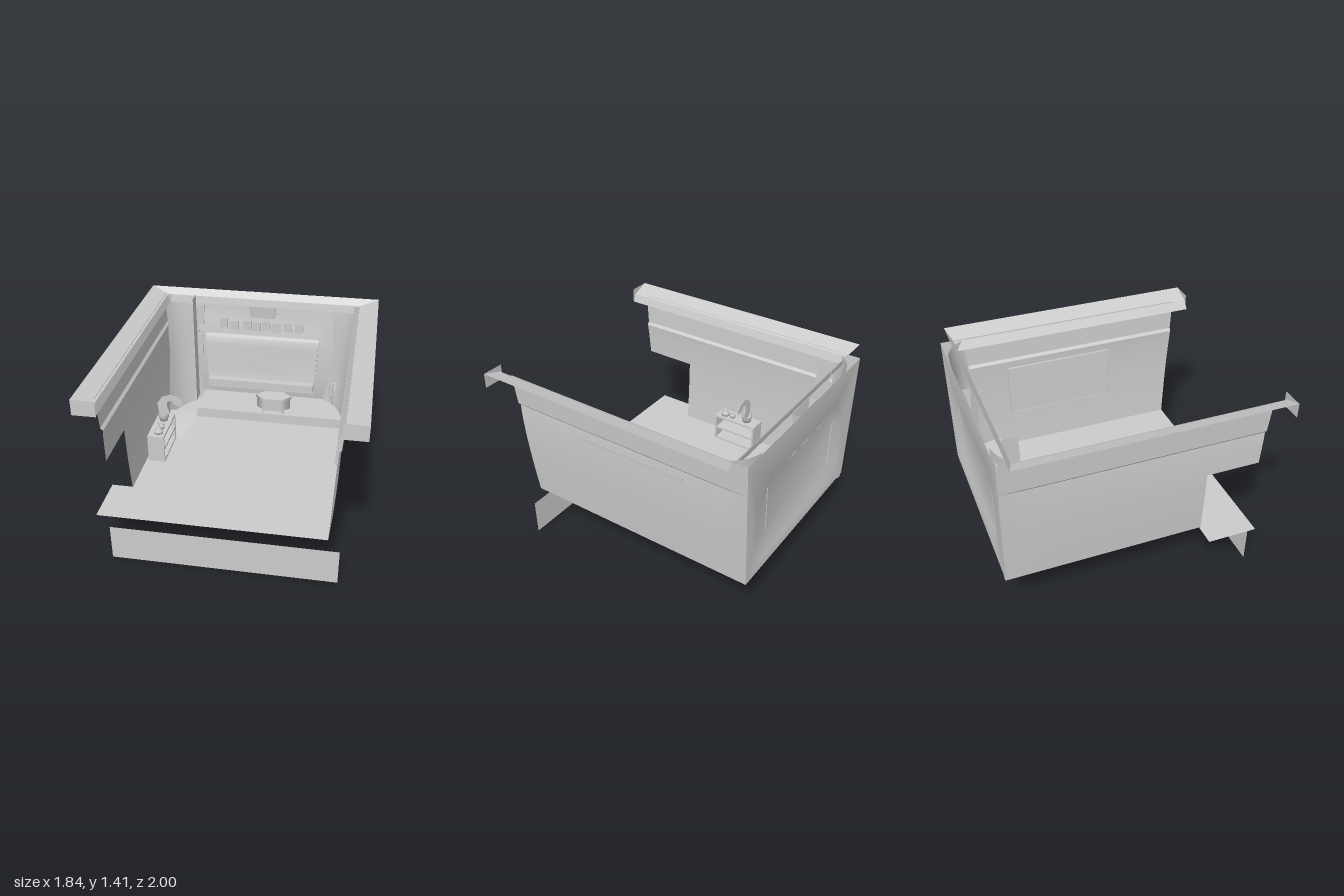
import * as THREE from 'three';
import { toCreasedNormals } from 'three/addons/utils/BufferGeometryUtils.js';

const mat = new THREE.MeshStandardMaterial({ color: 0xcccccc, side: THREE.DoubleSide });
const lerp = THREE.MathUtils.lerp;

// Piecewise-linear lookup in [key, value] pairs sorted by key
function sample(pairs, k) {
  for (let i = 1; i < pairs.length; i++) {
    const [a, va] = pairs[i - 1], [b, vb] = pairs[i];
    if (k <= b) return lerp(va, vb, Math.max(0, (k - a) / (b - a)));
  }
  return pairs[pairs.length - 1][1];
}

// Surface through rows of points; skip(i, j) leaves a cell open
function sheet(rows, crease = 0.5, skip = () => false) {
  const p = [];
  for (let i = 0; i < rows.length - 1; i++) {
    for (let j = 0; j < rows[i].length - 1; j++) {
      if (skip(i, j)) continue;
      const a = rows[i][j], b = rows[i][j + 1], c = rows[i + 1][j + 1], d = rows[i + 1][j];
      p.push(...a, ...b, ...c, ...a, ...c, ...d);
    }
  }
  const g = new THREE.BufferGeometry();
  g.setAttribute('position', new THREE.Float32BufferAttribute(p, 3));
  g.computeVertexNormals();
  return toCreasedNormals(g, crease);
}

export function createModel() {
  const root = new THREE.Group();
  const add = (name, geo, x = 0, y = 0, z = 0, parent = root) => {
    const m = new THREE.Mesh(geo, mat);
    m.name = name;
    m.position.set(x, y, z);
    parent.add(m);
    return m;
  };
  // Box given by its limits
  const box = (name, x0, x1, y0, y1, z0, z1, parent) =>
    add(name, new THREE.BoxGeometry(x1 - x0, y1 - y0, z1 - z0),
      (x0 + x1) / 2, (y0 + y1) / 2, (z0 + z1) / 2, parent);
  const group = (name) => {
    const g = new THREE.Group();
    g.name = name;
    root.add(g);
    return g;
  };

  // Side walls: bowed panel in front, flat strip at the back, doorway on the -x side
  const ys = [0.37, 0.45, 0.55, 0.65, 0.75, 0.87, 0.97, 1.06, 1.12, 1.14, 1.37];
  const bow = [[0.37, 0], [0.6, 0.006], [0.87, 0.004], [1.06, -0.008], [1.12, -0.016], [1.14, 0], [1.37, 0]];
  const creaseZ = [[0.37, -0.64], [0.88, -0.82], [1.14, -0.84], [1.37, -0.86]];
  const wallX = (s, y) => s < 0 ? lerp(-0.76, -0.802, (y - 0.37)) : lerp(0.715, 0.778, (y - 0.37));
  for (const s of [-1, 1]) {
    const rows = ys.map((y) => {
      const front = lerp(0.81, 0.89, y - 0.37);
      const x = wallX(s, y), bx = x + s * sample(bow, y);
      return [[bx, y, front], [bx, y, 0.45], [bx, y, sample(creaseZ, y)], [x, y, -1]];
    });
    add(s < 0 ? 'rightWall' : 'leftWall', sheet(rows, 0.5, (i, j) => s < 0 && j === 0 && ys[i + 1] <= 0.87));
    // Inner corner infill blending side wall into back wall
    const corner = [[0.37, 0.5], [0.6, 0.56], [0.88, 0.6], [1.17, 0.57]].map(([y, bx]) => {
      const a = new THREE.Vector3(wallX(s, y) - s * 0.012, y, [sample(creaseZ, y) + 0.02][0]);
      const c = new THREE.Vector3(s * bx, y, -0.965);
      const mid = new THREE.Vector3(lerp(a.x, c.x, 0.25), y, lerp(a.z, c.z, 0.75));
      return new THREE.QuadraticBezierCurve3(a, mid, c).getPoints(6).map((v) => v.toArray());
    });
    const top = corner[3].map(([x, , z]) => [x + s * 0.02, 1.36, z - 0.02]);
    add('cornerInfill', sheet([...corner, top], 1.2));
  }

  // Back wall with a shallow octagonal panel pressed inward
  const ring = (hx, y0, y1, cut, z) => [
    [-hx, y0 + cut], [-hx, y1 - cut], [-hx + cut, y1], [hx - cut, y1],
    [hx, y1 - cut], [hx, y0 + cut], [hx - cut, y0], [-hx + cut, y0], [-hx, y0 + cut],
  ].map(([x, y]) => [x, y, z]);
  const rim0 = [[-0.76, 0.37], [-0.802, 1.37], [-0.802, 1.37], [0.778, 1.37], [0.778, 1.37],
    [0.715, 0.37], [0.715, 0.37], [-0.76, 0.37], [-0.76, 0.37]].map(([x, y]) => [x, y, -1]);
  const centre = rim0.map(() => [0, 0.78, -0.975]);
  add('backWall', sheet([rim0, ring(0.62, 0.45, 1.13, 0.15, -0.995), ring(0.56, 0.5, 1.08, 0.14, -0.975), centre], 0.8));

  // Floor with the doorstep tab
  const floor = new THREE.Shape([[-0.76, 1], [-0.76, -0.44], [-0.92, -0.44], [-0.92, -0.81], [0.715, -0.81], [0.715, 1]]
    .map(([x, y]) => new THREE.Vector2(x, y)));
  add('floor', new THREE.ShapeGeometry(floor).rotateX(-Math.PI / 2), 0, 0.37, 0);
  add('basePanel', new THREE.PlaneGeometry(1.63, 0.275), -0.015, 0.1375, 0.81);
  box('cornerFoot', -0.74, -0.7, 0.35, 0.37, -1, -0.96);

  // Roof rim: outer edge, sloping shelf, hanging lip, swept round three sides
  const profile = [[0.92, 0.92, -0.94, 1.41], [0.785, 0.775, -0.9, 1.36], [0.765, 0.735, -0.89, 1.3]];
  add('roofRim', sheet(profile.map(([l, r, z, y]) => [[-l, y, 1], [-l, y, z], [r, y, z], [r, y, 1]])));
  for (const s of [-1, 1]) {
    add('rimEnd', new THREE.PlaneGeometry(0.16, 0.11), s * 0.84, 1.355, 1);
  }

  // Raised platform, its small step, and the bench with backrest
  box('platform', -0.51, 0.71, 0.372, 0.455, -0.97, -0.64);
  box('platformStep', -0.555, -0.51, 0.372, 0.415, -0.9, -0.64);
  const ramp = sheet([[[-0.74, 0.375, -0.28], [-0.55, 0.375, -0.28]],
    [[-0.74, 0.41, -0.5], [-0.51, 0.41, -0.51]], [[-0.74, 0.415, -0.64], [-0.51, 0.415, -0.64]]]);
  add('sideRamp', ramp);
  const bench = group('bench');
  box('seat', -0.46, 0.44, 0.55, 0.62, -0.97, -0.87, bench);
  const back = [[0.62, 0.46, -0.93], [0.68, 0.465, -0.94], [0.92, 0.475, -0.94], [0.98, 0.48, -0.948], [1.005, 0.48, -0.96], [1.01, 0.475, -0.975]]
    .map(([y, h, z]) => [[-h - 0.01, y, -0.98], [-h - 0.01, y, z], [h - 0.015, y, z], [h - 0.015, y, -0.98]]);
  add('backrest', sheet(back, 0.9), 0, 0, 0, bench);

  // Six-sided low table on the platform
  const table = group('lowTable');
  for (const [r, h, y] of [[0.14, 0.1, 0.54], [0.15, 0.02, 0.59]]) {
    add('tableTop', new THREE.CylinderGeometry(r, r, h, 6).rotateY(Math.PI / 2).scale(1, 1, 0.55), 0.13, y, -0.7, table);
  }
  for (const x of [0.05, 0.21]) for (const z of [-0.735, -0.665]) {
    box('tableLeg', x - 0.01, x + 0.01, 0.455, 0.5, z - 0.01, z + 0.01, table);
  }

  // Upright strip beside the bench
  add('uprightStrip', sheet([[[-0.555, 1.37, -0.9], [-0.555, 1.37, -0.79]], [[-0.54, 0.46, -0.87], [-0.54, 0.46, -0.76]]]));

  // Small framed pictures in a row, and notice boards
  [-0.34, -0.25, -0.14, -0.06, 0.02, 0.11, 0.2, 0.295].forEach((x, i) => {
    const y = [1.105, 1.09, 1.1, 1.09, 1.105, 1.09, 1.105, 1.1][i];
    box('pictureFrame', x - 0.035, x + 0.035, y - 0.04, y + 0.04, -0.975, -0.965);
  });
  box('noticeBoard', -0.665, -0.5, 1.09, 1.26, -0.965, -0.955);
  box('noticeTab', -0.61, -0.55, 1.005, 1.09, -0.965, -0.955);
  box('lowerBoard', -0.675, -0.515, 0.81, 0.99, -0.965, -0.955);

  // Tapered lamp over the bench
  add('wallLamp', sheet([1.18, 1.36].map((y, i) => {
    const h = 0.1 + i * 0.022, z = -0.95 + i * 0.015;
    return [[-h - 0.01, y, -0.99], [-h - 0.01, y, z], [h - 0.01, y, z], [h - 0.01, y, -0.99], [-h - 0.01, y, -0.99]];
  })));
  box('wallLampBase', -0.11, 0.09, 1.178, 1.182, -0.99, -0.95);

  // Framed screen on the +x wall
  const screen = box('wallScreen', -0.008, 0.008, -0.2, 0.2, -0.42, 0.42);
  screen.position.set(0.732, 0.86, -0.1);
  screen.rotation.z = -0.06;
  for (const s of [-1, 1]) {
    box('screenFrame', -0.014, 0.008, s * 0.195 - 0.008, s * 0.195 + 0.008, -0.42, 0.42, screen);
    box('screenFrame', -0.014, 0.008, -0.2, 0.2, s * 0.412 - 0.008, s * 0.412 + 0.008, screen);
  }

  // Open cabinet with shelves
  const cabinet = group('cabinet');
  for (const y of [0.38, 0.48, 0.585]) box('shelf', -0.74, -0.61, y - 0.008, y + 0.008, -0.28, 0.08, cabinet);
  for (const z of [-0.28, 0.065]) box('cabinetSide', -0.74, -0.61, 0.37, 0.59, z, z + 0.015, cabinet);
  box('cabinetBack', -0.74, -0.73, 0.37, 0.59, -0.28, 0.08, cabinet);

  // Bottles and potted plant on the cabinet
  const lathe = (name, pts, x, z) => add(name,
    new THREE.LatheGeometry(pts.map(([r, y]) => new THREE.Vector2(r, y)), 12), x, 0.593, z);
  lathe('largeBottle', [[0, 0], [0.035, 0], [0.033, 0.02], [0.01, 0.05], [0.01, 0.08], [0, 0.08]], -0.665, 0.015);
  lathe('smallBottle', [[0, 0], [0.022, 0], [0.022, 0.025], [0.007, 0.04], [0.007, 0.06], [0, 0.06]], -0.66, -0.055);
  lathe('plantPot', [[0, 0], [0.032, 0], [0.042, 0.05], [0.034, 0.05], [0.03, 0.035], [0, 0.035]], -0.675, -0.18);
  const leaf = new THREE.Shape([[-0.7, 0.62], [-0.715, 0.69], [-0.72, 0.74], [-0.68, 0.8], [-0.62, 0.82], [-0.55, 0.81],
    [-0.525, 0.78], [-0.525, 0.73], [-0.57, 0.735], [-0.595, 0.75], [-0.6, 0.775], [-0.64, 0.76], [-0.645, 0.72],
    [-0.63, 0.68], [-0.635, 0.62]].map(([x, y]) => new THREE.Vector2(x, y)));
  add('plant', new THREE.ExtrudeGeometry(leaf, { depth: 0.006, bevelEnabled: false }), 0, 0, -0.183);

  // Fire extinguisher with hose
  const ext = group('fireExtinguisher');
  ext.position.set(0.625, 0.455, -0.9);
  add('cylinder', new THREE.LatheGeometry([[0, 0], [0.022, 0], [0.022, 0.14], [0.009, 0.165], [0.009, 0.185], [0, 0.185]]
    .map(([r, y]) => new THREE.Vector2(r, y)), 14), 0, 0, 0, ext);
  box('handle', -0.02, 0.022, 0.185, 0.198, -0.006, 0.006, ext);
  const hose = new THREE.CatmullRomCurve3([[0, 0.18], [-0.03, 0.185], [-0.048, 0.15], [-0.04, 0.08], [-0.035, 0.03]]
    .map(([x, y]) => new THREE.Vector3(x, y, 0)));
  add('hose', new THREE.TubeGeometry(hose, 14, 0.005, 6), 0, 0, 0, ext);

  return root;
}
